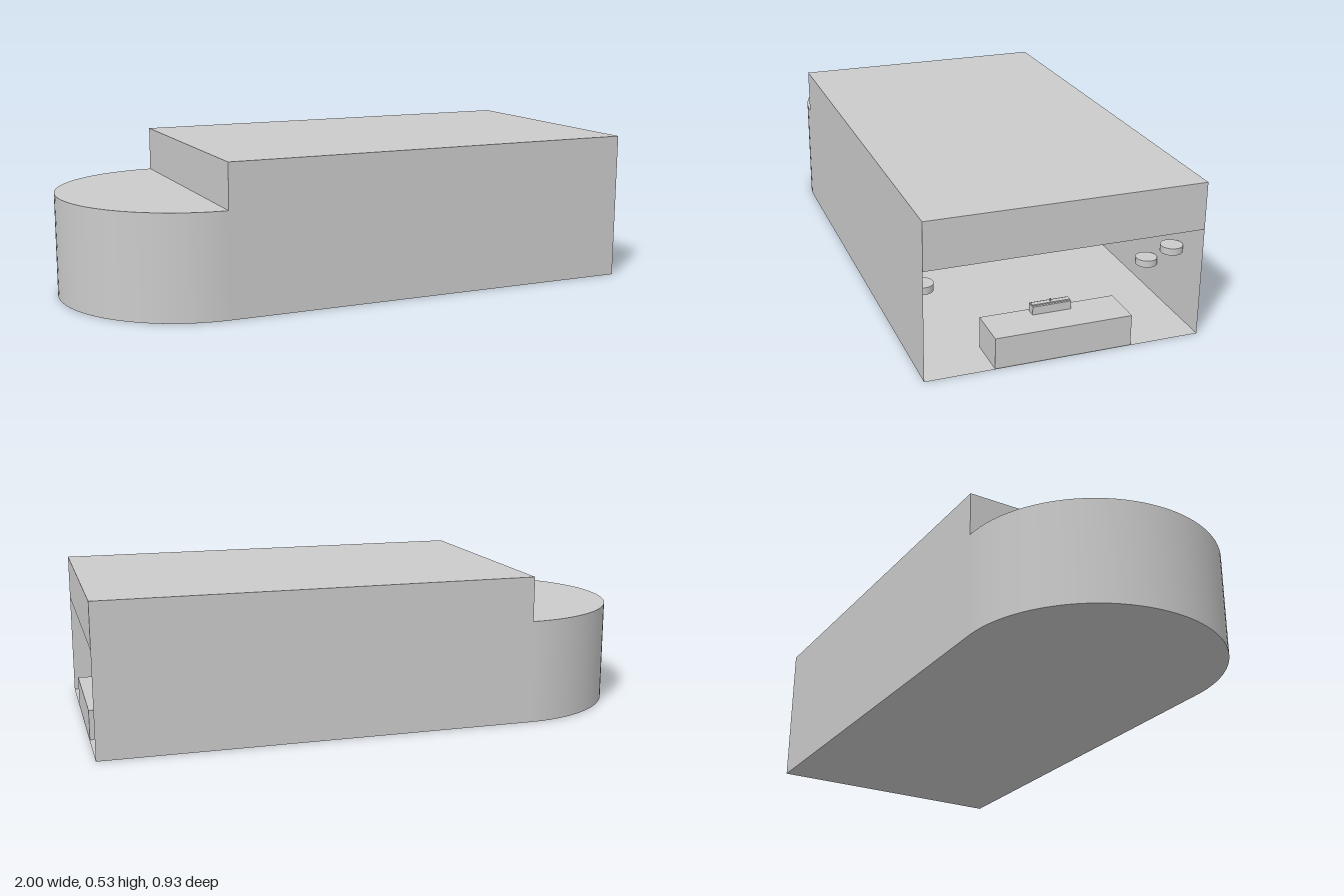
import * as THREE from 'three';

const R = 0.463;          // half width, also radius of the rounded end
const CX = -1 + R;        // where the rounded end begins
const DECK = 0.37;        // height of the lower hall
const TOP = 0.53;         // height of the raised block

export function createModel() {
  const group = new THREE.Group();
  const solid = new THREE.MeshStandardMaterial({ color: 0xcccccc });
  const thin = new THREE.MeshStandardMaterial({ color: 0xcccccc, side: THREE.DoubleSide });

  const add = (name, geometry, material = solid) => {
    const mesh = new THREE.Mesh(geometry, material);
    mesh.name = name;
    group.add(mesh);
    return mesh;
  };
  // Box given by its lower and upper corners
  const box = (name, [x0, y0, z0], [x1, y1, z1]) => {
    add(name, new THREE.BoxGeometry(x1 - x0, y1 - y0, z1 - z0))
      .position.set((x0 + x1) / 2, (y0 + y1) / 2, (z0 + z1) / 2);
  };

  // Thin floor with one rounded end
  const outline = new THREE.Shape();
  outline.moveTo(1, -R);
  outline.lineTo(1, R);
  outline.lineTo(CX, R);
  outline.absarc(CX, 0, R, Math.PI / 2, Math.PI * 1.5, false);
  outline.closePath();
  add('floor', new THREE.ShapeGeometry(outline, 48).rotateX(Math.PI / 2), thin);

  // Rounded end wall and its half-round deck
  add('roundedWall', new THREE.CylinderGeometry(R, R, DECK, 48, 1, true, Math.PI, Math.PI)
    .translate(CX, DECK / 2, 0), thin);
  add('roundedDeck', new THREE.CircleGeometry(R, 48, Math.PI / 2, Math.PI)
    .rotateX(-Math.PI / 2).translate(CX, DECK, 0), thin);

  // Raised block, whose underside is the ceiling of the hall
  box('raisedBlock', [CX, DECK, -R], [1, TOP, R]);

  for (const side of [1, -1]) {
    // Straight side walls; the end at +x stays open
    add('sideWall', new THREE.PlaneGeometry(1 - CX, DECK)
      .translate((1 + CX) / 2, DECK / 2, side * R), thin);

    // Small discs on the inside of the walls
    for (const [x, y] of [[0.865, 0.253], [0.7, 0.133]]) {
      add('wallDisc', new THREE.CylinderGeometry(0.037, 0.037, 0.024, 32))
        .position.set(x, y, side * (R - 0.037));
    }
  }

  // Counter in the open end with a small unit on top
  box('counter', [0.854, 0.001, -0.226], [0.999, 0.106, 0.234]);
  box('counterUnit', [0.862, 0.106, -0.062], [0.895, 0.134, 0.07]);
  box('unitPlate', [0.87, 0.134, -0.06], [0.888, 0.138, 0.068]);
  box('unitPin', [0.877, 0.138, 0.002], [0.881, 0.147, 0.006]);

  return group;
}
